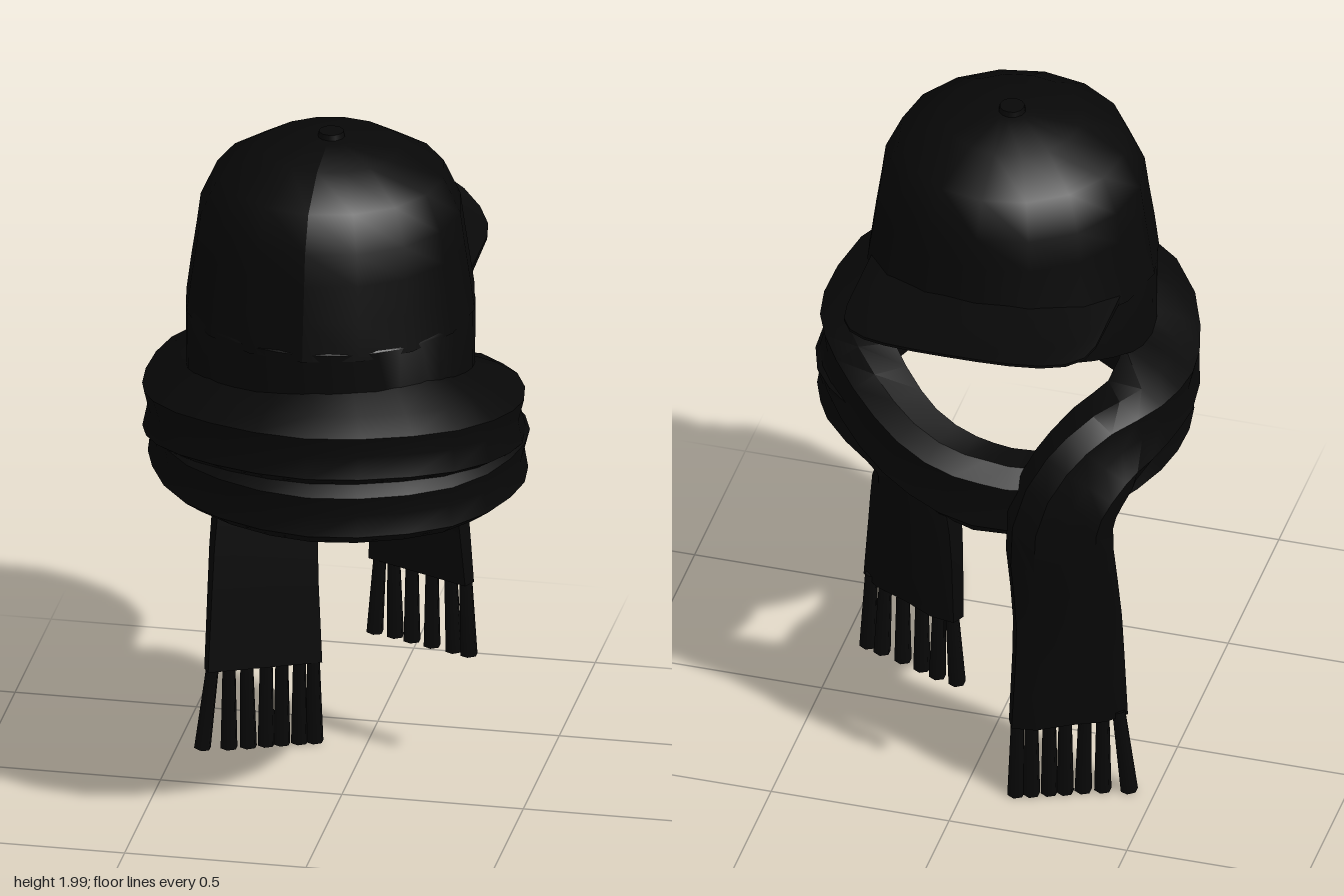
import * as THREE from 'three';
import { toCreasedNormals } from 'three/addons/utils/BufferGeometryUtils.js';

const rad = THREE.MathUtils.degToRad;
const charcoal = new THREE.MeshStandardMaterial({ color: 0x080808, side: THREE.DoubleSide });
charcoal.name = 'charcoal cloth';

const CX = -0.015, CZ = 0.08; // centre of the head
const TAIL_SLANT = 0.5; // z change per x across each hanging end

function addMesh(parent, name, geometry) {
  const mesh = new THREE.Mesh(geometry, charcoal);
  mesh.name = name;
  parent.add(mesh);
  return mesh;
}

// Skin closed rings (counter-clockwise about the sweep direction), capping the ends if asked
function loft(rings, capped) {
  const n = rings[0].length;
  const positions = rings.flat().flatMap((p) => [p.x, p.y, p.z]);
  const index = [];
  for (let i = 0; i < rings.length - 1; i++) {
    for (let j = 0; j < n; j++) {
      const a = i * n + j, b = i * n + (j + 1) % n;
      index.push(a, b, a + n, b, b + n, a + n);
    }
  }
  if (capped) {
    const last = (rings.length - 1) * n;
    for (let j = 1; j < n - 1; j++) {
      index.push(0, j + 1, j, last, last + j, last + j + 1);
    }
  }
  const g = new THREE.BufferGeometry();
  g.setAttribute('position', new THREE.Float32BufferAttribute(positions, 3));
  g.setIndex(index);
  return toCreasedNormals(g, 0.7);
}

function buildCap() {
  const cap = new THREE.Group();
  cap.name = 'cap';

  // Crown, with its rim rising a little towards the brim
  const profile = [[0.397, 1.5], [0.385, 1.6], [0.37, 1.7], [0.358, 1.79], [0.312, 1.89],
    [0.19, 1.962], [0.06, 1.985], [0, 1.985]].map(([r, y]) => new THREE.Vector2(r, y));
  const crown = new THREE.LatheGeometry(profile, 16);
  const p = crown.attributes.position;
  for (let i = 0; i < p.count; i++) {
    if (p.getY(i) < 1.55) p.setY(i, 1.51 - 0.05 * p.getZ(i));
  }
  crown.computeVertexNormals();
  addMesh(cap, 'crown', crown).position.set(CX, 0, CZ);

  const button = addMesh(cap, 'button', new THREE.CylinderGeometry(0.034, 0.04, 0.03, 12));
  button.position.set(CX, 1.985, 0.07);

  // Brim: slices across x, arched in the middle and turned up at the tip
  const slices = [];
  for (let k = 0; k <= 12; k++) {
    const u = -Math.cos((k / 12) * Math.PI);
    const x = CX + 0.35 * u;
    const inner = CZ - Math.sqrt(0.375 ** 2 - (0.35 * u) ** 2);
    const outer = Math.min(inner - 0.02, -0.33 - 0.28 * Math.sqrt(1 - u * u));
    const point = (s, drop) => new THREE.Vector3(
      x,
      1.6 - 0.055 * u * u + 0.04 * s ** 3 * (1 - u * u) - drop,
      THREE.MathUtils.lerp(inner, outer, s));
    slices.push([
      ...[0, 0.35, 0.7, 1].map((s) => point(s, 0.008 + 0.014 * (1 - s))),
      ...[1, 0.7, 0.35, 0].map((s) => point(s, 0)),
    ]);
  }
  addMesh(cap, 'brim', loft(slices, true));
  return cap;
}

// Open shell below the cap, with a face opening under the brim
function buildHood() {
  const ring = (radius, height) => Array.from({ length: 36 }, (_, j) => {
    const a = (j / 36) * Math.PI * 2, c = Math.cos(a);
    return new THREE.Vector3(CX + radius * Math.sin(a), height(c), CZ + radius * c);
  });
  const hem = (c) => {
    if (c < -0.8) return 1.5;
    return c < -0.25 ? 1.29 - 0.13 * c : 1.29 - 0.08 * c;
  };
  return loft([ring(0.39, hem), ring(0.392, () => 1.51),
    ring(0.386, (c) => 1.53 - 0.015 * c)], false);
}

function buildScarf() {
  // x, y, z, lean of the width in degrees, width, thickness
  const path = [
    [0.17, 0.57, -0.28, -90, 0.33, 0.06],
    [0.165, 0.85, -0.28, -90, 0.29, 0.08],
    [0.19, 1.02, -0.26, -55, 0.23, 0.12],
    [0.38, 1.08, -0.12, 0, 0.19, 0.14],
    [0.45, 1.08, 0.1, 0, 0.19, 0.15],
    [0.34, 1.08, 0.38, 0, 0.19, 0.15],
    [0.02, 1.08, 0.505, 0, 0.19, 0.15],
    [-0.295, 1.08, 0.37, 0, 0.19, 0.15],
    [-0.435, 1.1, 0.12, 0, 0.19, 0.15],
    [-0.42, 1.08, -0.12, 0, 0.19, 0.15],
    [-0.26, 1.0, -0.27, 10, 0.2, 0.13],
    [-0.04, 0.99, -0.32, 0, 0.24, 0.13],
    [0.18, 1.07, -0.28, -20, 0.23, 0.14],
    [0.36, 1.17, -0.12, -10, 0.22, 0.16],
    [0.435, 1.2, 0.1, 0, 0.2, 0.17],
    [0.34, 1.25, 0.38, 0, 0.2, 0.18],
    [0.02, 1.265, 0.52, 0, 0.2, 0.18],
    [-0.305, 1.24, 0.385, 0, 0.2, 0.18],
    [-0.44, 1.18, 0.12, 0, 0.2, 0.17],
    [-0.43, 1.18, -0.13, 5, 0.22, 0.16],
    [-0.35, 1.12, -0.28, 45, 0.26, 0.14],
    [-0.275, 0.95, -0.355, 85, 0.28, 0.12],
    [-0.28, 0.6, -0.305, 90, 0.29, 0.08],
    [-0.275, 0.25, -0.28, 90, 0.32, 0.06],
  ];
  const curve = (pts) => new THREE.CatmullRomCurve3(pts, false, 'catmullrom', 0.5);
  const spine = curve(path.map((r) => new THREE.Vector3(r[0], r[1], r[2])));
  const form = curve(path.map((r) => new THREE.Vector3(r[3], r[4], r[5])));

  // Section with a grooved, rounded outer face; the wrap's top slopes up to the head
  const steps = 69, rings = [];
  for (let i = 0; i <= steps; i++) {
    const o = spine.getPoint(i / steps), t = spine.getTangent(i / steps);
    const f = form.getPoint(i / steps);
    const s = Math.sin(rad(f.x));
    const w = new THREE.Vector3(s, Math.cos(rad(f.x)), -TAIL_SLANT * Math.abs(s));
    const n = t.clone().cross(w).normalize();
    w.crossVectors(n, t).normalize();
    const lip = o.z > -0.1 ? 0.75 : 0.5;
    const section = [[0.5, -0.15], [lip, 0.5], [-0.5, 0.5], [-0.5, -0.15],
      [-0.3, -0.5], [0, -0.42], [0.3, -0.5]];
    rings.push(section.map(([u, v]) =>
      o.clone().addScaledVector(w, u * f.y).addScaledVector(n, v * f.z)));
  }

  const scarf = new THREE.Group();
  scarf.name = 'scarf';
  addMesh(scarf, 'scarfWrap', loft(rings, true));
  return scarf;
}

// Row of tassels along a slanted scarf end; each entry is [top x, bottom x]
function buildFringe(name, xs, top, bottom, centreX, slant) {
  const fringe = new THREE.Group();
  fringe.name = name;
  for (const [x0, x1] of xs) {
    const z = -0.28 + slant * (x0 - centreX) * 0.8;
    const a = new THREE.Vector3(x0, top + 0.02, z);
    const b = new THREE.Vector3(x1, bottom, z);
    const dir = a.clone().sub(b);
    const strand = addMesh(fringe, 'tassel',
      new THREE.CylinderGeometry(0.018, 0.024, dir.length(), 6));
    strand.position.copy(a).add(b).multiplyScalar(0.5);
    strand.quaternion.setFromUnitVectors(new THREE.Vector3(0, 1, 0), dir.normalize());
  }
  return fringe;
}

export function createModel() {
  const model = new THREE.Group();
  model.name = 'cap and scarf';
  model.add(buildCap());
  addMesh(model, 'hood', buildHood());
  const scarf = buildScarf();
  scarf.add(
    buildFringe('shortFringe', [[0.04, 0.025], [0.08, 0.085], [0.135, 0.135], [0.195, 0.195],
      [0.25, 0.26], [0.295, 0.305]], 0.57, 0.35, 0.17, TAIL_SLANT),
    buildFringe('longFringe', [[-0.4, -0.43], [-0.36, -0.36], [-0.315, -0.31], [-0.265, -0.265],
      [-0.225, -0.225], [-0.18, -0.18], [-0.145, -0.14]], 0.25, 0.012, -0.275, -TAIL_SLANT));
  model.add(scarf);
  return model;
}
